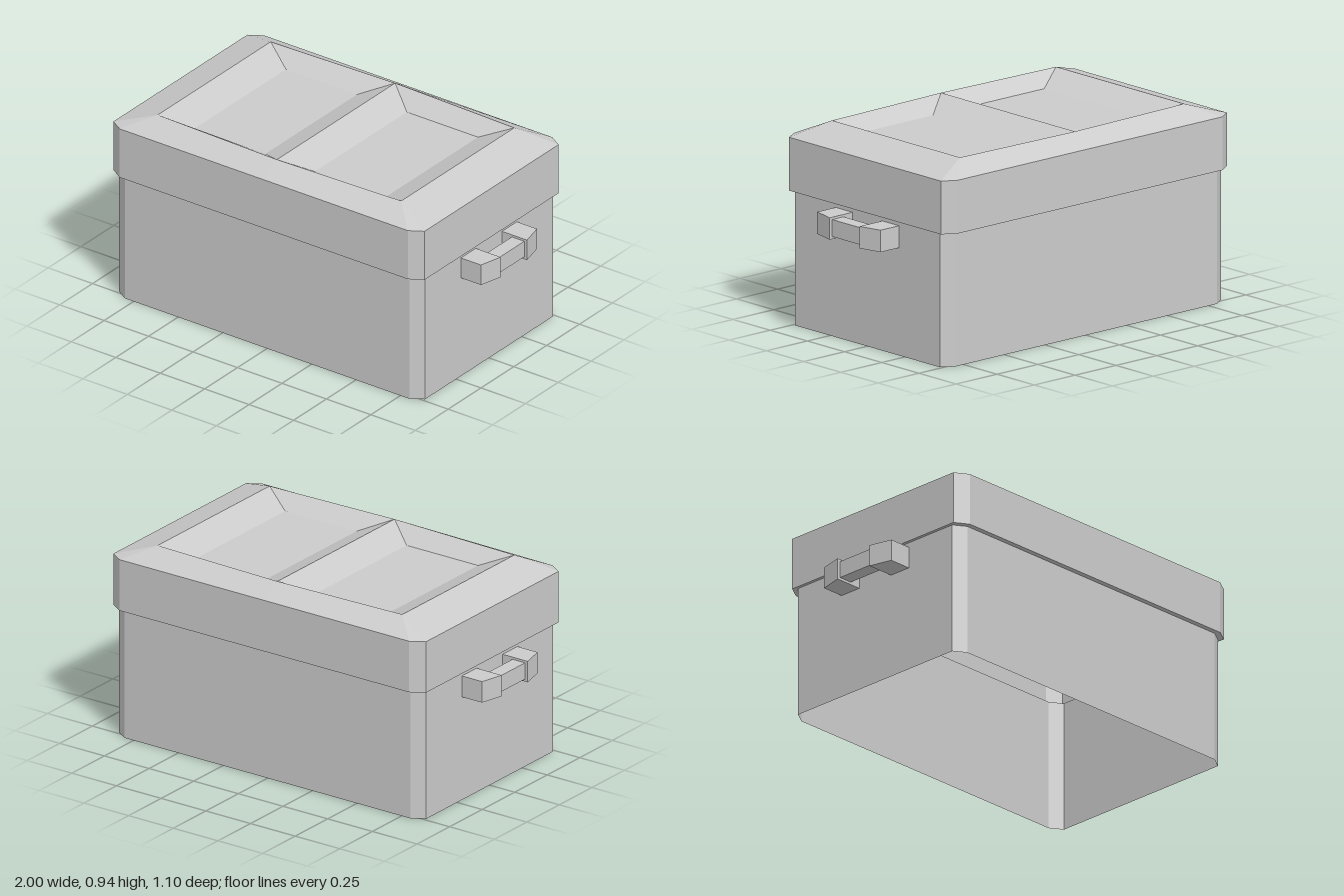
import * as THREE from 'three';

const material = new THREE.MeshStandardMaterial({ color: 0xcccccc, flatShading: true, side: THREE.DoubleSide });

// Mesh from a list of convex polygons, corners counter-clockwise from outside
function polyMesh(name, polys) {
  const pos = [];
  for (const p of polys)
    for (let i = 1; i < p.length - 1; i++) pos.push(...p[0], ...p[i], ...p[i + 1]);
  const geo = new THREE.BufferGeometry();
  geo.setAttribute('position', new THREE.Float32BufferAttribute(pos, 3));
  geo.computeVertexNormals();
  const mesh = new THREE.Mesh(geo, material);
  mesh.name = name;
  return mesh;
}

// Rectangle with cut corners at height y
const ring = (y, X, Z, cx, cz) =>
  [[X, cz], [X, -cz], [cx, -Z], [-cx, -Z], [-X, -cz], [-X, cz], [-cx, Z], [cx, Z]].map(([x, z]) => [x, y, z]);

// Band of quads between two rings
const band = (a, b) => a.map((p, i) => {
  const j = (i + 1) % a.length;
  return [p, a[j], b[j], b[i]];
});

// Lid top: raised rim and cross ridge around two sunken panels, one quarter mirrored
function lidTop() {
  const low = 0.88, high = 0.94;
  const A = [0.81, low, 0.55], B = [0.875, low, 0.51];
  const R = [0.685, high, 0.43], M = [0, high, 0.45];
  const F = [0.54, low, 0.35], G = [0.14, low, 0.35];
  const rEnd = [0.685, high, 0], fEnd = [0.54, low, 0], gEnd = [0.14, low, 0];
  const quarter = [
    [[0, low, 0.55], A, R, M],      // long bevel
    [A, B, R],                      // corner
    [B, [0.875, low, 0], rEnd, R],  // end bevel
    [M, R, F, G],                   // panel slopes
    [R, rEnd, fEnd, F],
    [[0, high, 0], M, G, gEnd],
    [G, F, fEnd, gEnd],             // panel floor
  ];
  const polys = [];
  for (const sx of [1, -1]) for (const sz of [1, -1])
    for (const q of quarter) {
      const m = q.map(([x, y, z]) => [x * sx, y, z * sz]);
      polys.push(sx * sz < 0 ? m.reverse() : m);
    }
  return polys;
}

// Block extruded upward from an outline in x and z
function block(name, outline, y0, y1) {
  const shape = new THREE.Shape(outline.map(([x, z]) => new THREE.Vector2(x, -z)));
  const geo = new THREE.ExtrudeGeometry(shape, { depth: y1 - y0, bevelEnabled: false });
  geo.rotateX(-Math.PI / 2).translate(0, y0, 0);
  const mesh = new THREE.Mesh(geo, material);
  mesh.name = name;
  return mesh;
}

// Two tapered brackets joined by a bar
function handle(name, s) {
  const g = new THREE.Group();
  g.name = name;
  for (const sz of [1, -1])
    g.add(block('handleBracket', [[0.86, 0.1], [1, 0.1], [0.973, 0.213], [0.86, 0.213]]
      .map(([x, z]) => [x * s, z * sz]), 0.505, 0.608));
  g.add(block('handleBar', [[0.915, -0.1], [0.985, -0.1], [0.985, 0.1], [0.915, 0.1]]
    .map(([x, z]) => [x * s, z]), 0.517, 0.597));
  return g;
}

export function createModel() {
  const model = new THREE.Group();
  model.name = 'chest';

  // Walls, open underneath
  const foot = ring(0, 0.86, 0.525, 0.8, 0.487);
  const seam = ring(0.63, 0.86, 0.525, 0.8, 0.487);
  model.add(polyMesh('body', band(foot, seam)));

  // Lid with overhanging lip
  const lip = ring(0.63, 0.875, 0.55, 0.81, 0.51);
  const rim = ring(0.88, 0.875, 0.55, 0.81, 0.51);
  model.add(polyMesh('lid', [...band(seam, lip), ...band(lip, rim), ...lidTop()]));

  model.add(handle('leftHandle', 1), handle('rightHandle', -1));
  return model;
}
